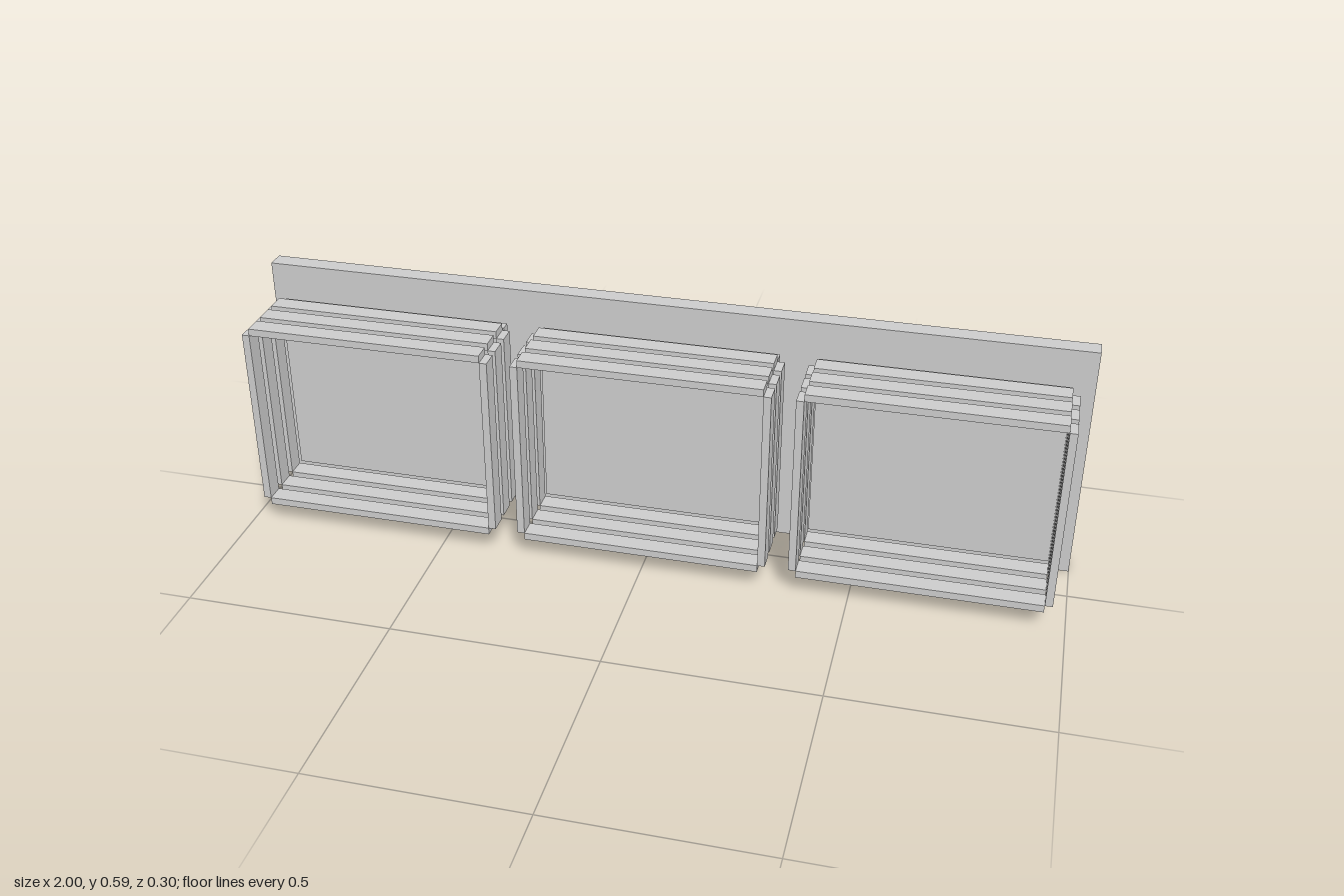
import * as THREE from 'three';

const material = new THREE.MeshStandardMaterial({ color: 0xcccccc, flatShading: true });

function addBox(parent, name, size, position) {
  const mesh = new THREE.Mesh(new THREE.BoxGeometry(...size), material);
  mesh.name = name;
  mesh.position.set(...position);
  parent.add(mesh);
}

// Opening of each frame, thickness and depth of its bars
const W = 0.571, H = 0.453, BAR = 0.018, DEPTH = 0.045;
const MID_Y = 0.296;

// Four bars around the opening, meeting at their corner edges
function createFrame(z) {
  const frame = new THREE.Group();
  frame.name = 'frame';
  frame.position.z = z;
  for (const s of [-1, 1]) {
    addBox(frame, s > 0 ? 'topBar' : 'bottomBar', [W, BAR, DEPTH], [0, s * (H + BAR) / 2, 0]);
    addBox(frame, s > 0 ? 'leftBar' : 'rightBar', [BAR, H, DEPTH], [s * (W + BAR) / 2, 0, 0]);
  }
  return frame;
}

export function createModel() {
  const model = new THREE.Group();
  model.name = 'threeBayPanel';

  // Large board behind everything
  addBox(model, 'backBoard', [2, 0.592, DEPTH], [0, MID_Y, -0.1265]);

  // Three bays, each with a back panel and three frames in front of it
  for (const x of [-0.662, 0, 0.662]) {
    const bay = new THREE.Group();
    bay.name = 'bay';
    bay.position.set(x, MID_Y, 0);
    addBox(bay, 'bayPanel', [W, H, 0.026], [0, 0, -0.045]);
    for (const z of [0.001, 0.0645, 0.1275]) bay.add(createFrame(z));
    model.add(bay);
  }
  return model;
}
